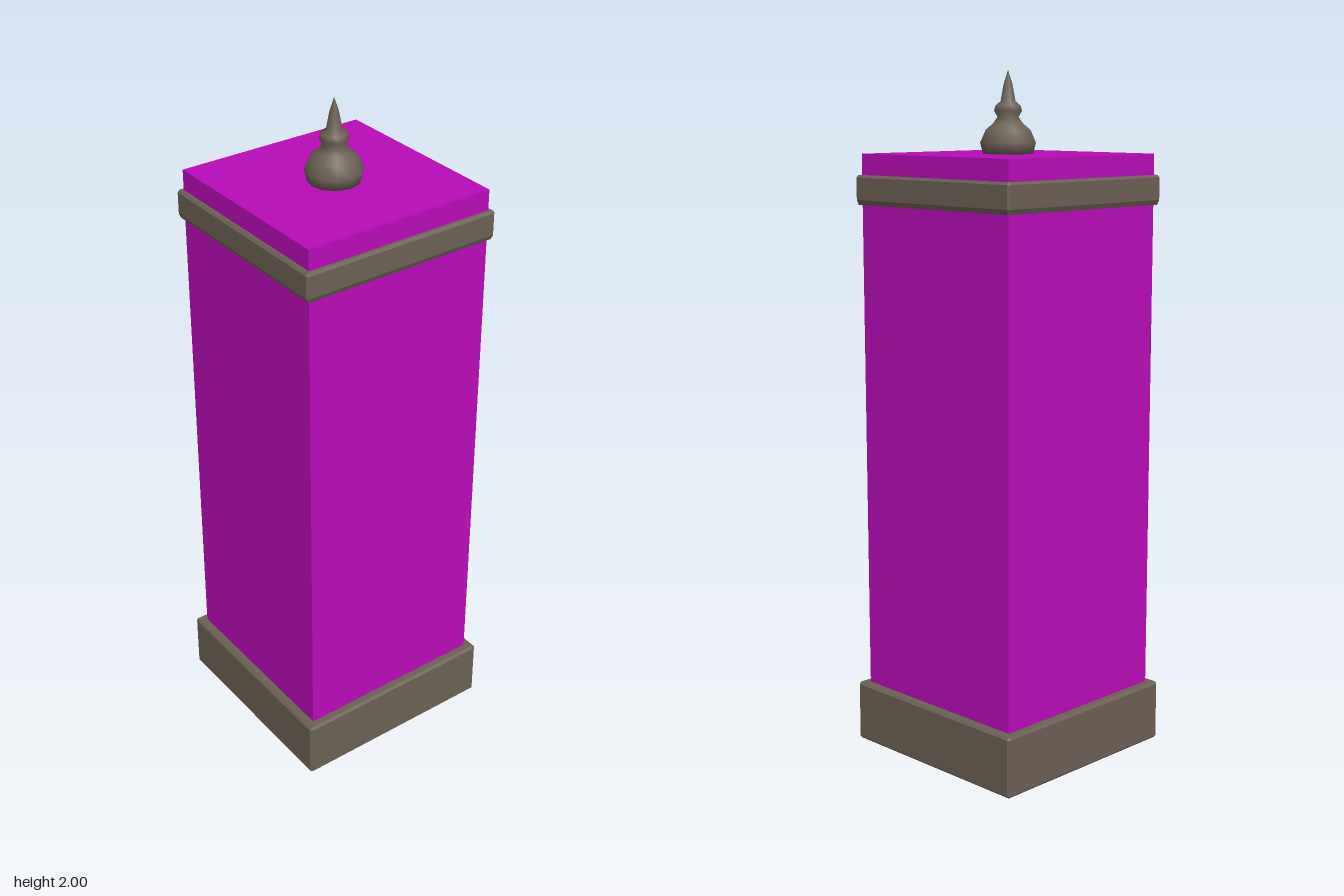
import * as THREE from 'three';
import { ConvexGeometry } from 'three/addons/geometries/ConvexGeometry.js';

const stone = new THREE.MeshStandardMaterial({ color: 0x6b6054 });
const panel = new THREE.MeshStandardMaterial({ color: 0xb80cb8 });

function addPart(group, name, geometry, material) {
  const mesh = new THREE.Mesh(geometry, material);
  mesh.name = name;
  group.add(mesh);
  return mesh;
}

// Square slab with every edge chamfered; the lower chamfer can be taller
function chamferedSlab(half, y0, y1, bevel, lowBevel = bevel) {
  const points = [];
  const inner = half - bevel;
  for (const sx of [-1, 1]) {
    for (const sz of [-1, 1]) {
      for (const [edge, side] of [[y0, y0 + lowBevel], [y1, y1 - bevel]]) {
        points.push(
          new THREE.Vector3(sx * inner, edge, sz * inner),
          new THREE.Vector3(sx * half, side, sz * inner),
          new THREE.Vector3(sx * inner, side, sz * half),
        );
      }
    }
  }
  return new ConvexGeometry(points);
}

export function createModel() {
  const model = new THREE.Group();
  model.name = 'pillar';

  // Plinth and the band near the top
  addPart(model, 'base', chamferedSlab(0.322, 0, 0.18, 0.007), stone);
  addPart(model, 'upperBand', chamferedSlab(0.31, 1.62, 1.705, 0.007, 0.014), stone);

  // Square shaft, running from inside the plinth to the top
  const bottom = 0.01, top = 1.765;
  const shaft = addPart(model, 'shaft', new THREE.BoxGeometry(0.59, top - bottom, 0.59), panel);
  shaft.position.y = (top + bottom) / 2;

  // Turned finial: bulb, collar and spike
  const profile = [
    [0, 1.765], [0.074, 1.765], [0.082, 1.797], [0.066, 1.832], [0.044, 1.85],
    [0.031, 1.868], [0.041, 1.885], [0.037, 1.9], [0.022, 1.912], [0.013, 1.96], [0, 2],
  ].map(([r, y]) => new THREE.Vector2(r, y));
  addPart(model, 'finial', new THREE.LatheGeometry(profile, 12), stone);

  return model;
}
